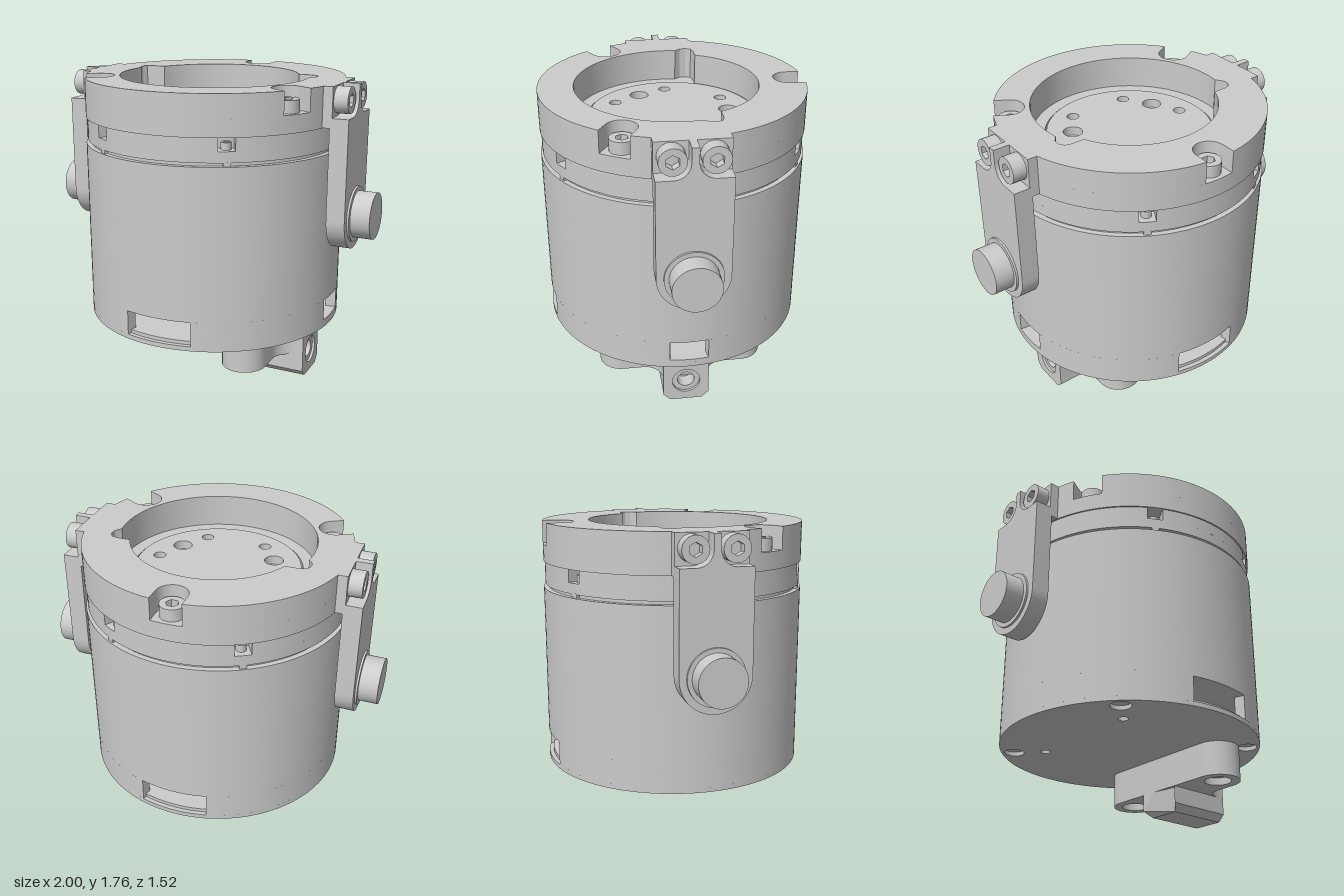
import * as THREE from 'three';
import { toCreasedNormals } from 'three/addons/utils/BufferGeometryUtils.js';

const material = new THREE.MeshStandardMaterial({ color: 0xcccccc });
const V = (x, y) => new THREE.Vector2(x, y);
const TAU = Math.PI * 2;

function add(parent, name, geometry) {
  const mesh = new THREE.Mesh(geometry, material);
  mesh.name = name;
  parent.add(mesh);
  return mesh;
}

// Points along an arc, ends included
function arc(cx, cy, r, a0, a1, n = 16) {
  return Array.from({ length: n + 1 }, (_, i) => {
    const a = a0 + ((a1 - a0) * i) / n;
    return V(cx + r * Math.cos(a), cy + r * Math.sin(a));
  });
}
const circle = (x, y, r, n = 32) => arc(x, y, r, 0, TAU, n).slice(0, -1);

function extrude(points, holes, depth) {
  const shape = new THREE.Shape(points);
  holes.forEach(h => shape.holes.push(new THREE.Path(h)));
  return new THREE.ExtrudeGeometry(shape, { depth, bevelEnabled: false });
}
// Outline in (x, z), raised from y0 to y1
function slab(points, y0, y1, holes = []) {
  const g = extrude(points, holes, y1 - y0).rotateX(Math.PI / 2).translate(0, y1, 0);
  return toCreasedNormals(g, 0.5);
}
// Outline in (z, y), pushed from x0 to x1
function sideSlab(points, x0, x1, holes = []) {
  const g = extrude(points, holes, x1 - x0).rotateY(Math.PI / 2).translate(x0, 0, 0);
  return toCreasedNormals(g, 0.5);
}
function disc(r, y0, y1) {
  return new THREE.CylinderGeometry(r, r, y1 - y0, 128).translate(0, (y0 + y1) / 2, 0);
}

// Round outline with slots cut inward at the given angles (ascending)
function slottedCircle(R, angles, w, rIn, rounded) {
  const half = Math.asin(w / R), pts = [];
  angles.forEach((a, i) => {
    const local = rounded
      ? arc(rIn + w, 0, w, -Math.PI / 2, -Math.PI * 1.5)
      : [V(rIn, -w), V(rIn, w)];
    local.forEach(p => pts.push(p.rotateAround(V(0, 0), a)));
    const next = i + 1 < angles.length ? angles[i + 1] : angles[0] + TAU;
    pts.push(...arc(0, 0, R, a + half, next - half, 40));
  });
  return pts;
}

// Socket head screw standing on its local origin, pointing up
function screw(parent, name, r, h) {
  const g = new THREE.Group();
  g.name = name;
  add(g, 'screwHead', slab(circle(0, 0, r), 0, h, [circle(0, 0, r * 0.52, 6)]));
  add(g, 'socketFloor', new THREE.CylinderGeometry(r * 0.6, r * 0.6, h * 0.4, 16).translate(0, h * 0.2, 0));
  parent.add(g);
  return g;
}

function buildHousing(root) {
  // Base plate with mounting and pin holes
  const diagonals = [1, 3, 5, 7].map(k => (k * Math.PI) / 4);
  const holes = diagonals.map(a => circle(0.685 * Math.cos(a), 0.685 * Math.sin(a), 0.058));
  [3, 5].forEach(k => holes.push(circle(0.5 * Math.cos(k * Math.PI / 4), 0.5 * Math.sin(k * Math.PI / 4), 0.028)));
  add(root, 'basePlate', slab(circle(0, 0, 0.76, 128), 0.34, 0.367, holes));
  add(root, 'cavityFloor', disc(0.735, 0.365, 0.388));

  // Wall arcs between the front, back and side windows
  const big = Math.asin(0.197 / 0.76), small = Math.asin(0.11 / 0.76), q = Math.PI / 2;
  [[small, q - big], [q + big, 3 * q - big], [3 * q + big, 4 * q - small]].forEach(([a, b]) => {
    const pts = [...arc(0, 0, 0.76, a, b, 48), ...arc(0, 0, 0.7, b, a, 48)];
    add(root, 'windowWall', slab(pts, 0.365, 0.51));
  });
  add(root, 'sideWindowSill', slab([...arc(0, 0, 0.76, -small, small, 8), ...arc(0, 0, 0.7, small, -small, 8)], 0.365, 0.388));
  add(root, 'mainBody', disc(0.76, 0.51, 1.38));

  // Groove with small tabs, then the notched middle ring
  const notchAngles = [1, 2, 4, 5].map(k => (k * Math.PI) / 3);
  add(root, 'groove', disc(0.73, 1.37, 1.41));
  notchAngles.forEach(a => {
    const tab = add(root, 'grooveTab', new THREE.BoxGeometry(0.06, 0.03, 0.04));
    tab.position.set(0.72 * Math.cos(a), 1.39, 0.72 * Math.sin(a));
    tab.rotation.y = -a;
    const s = screw(root, 'notchScrew', 0.028, 0.04);
    s.position.set(0.69 * Math.cos(a), 1.46, 0.69 * Math.sin(a));
  });
  add(root, 'middleRingLower', disc(0.75, 1.4, 1.46));
  add(root, 'middleRing', slab(slottedCircle(0.75, notchAngles, 0.045, 0.66, false), 1.46, 1.533));
}

function buildTop(root) {
  // Pocket: wide arc in front, two ears, narrower arc behind
  const ear = [[0.53, -0.2], [0.562, -0.19], [0.578, -0.16], [0.575, -0.125], [0.556, -0.1]];
  const aBack = Math.asin(0.2 / 0.49), aFront = Math.asin(0.09 / 0.555);
  const pocket = [
    ...arc(0, 0, 0.49, Math.PI + aBack, TAU - aBack, 48),
    ...ear.map(([x, z]) => V(x, z)),
    ...arc(0, 0, 0.555, -aFront, Math.PI + aFront, 64),
    ...ear.slice().reverse().map(([x, z]) => V(-x, z)),
  ];
  const slots = [Math.PI / 6, Math.PI * 5 / 6, Math.PI * 1.5];
  add(root, 'topRingLower', slab(circle(0, 0, 0.758, 128), 1.533, 1.632, [pocket]));
  add(root, 'topRing', slab(slottedCircle(0.758, slots, 0.088, 0.583, true), 1.632, 1.76, [pocket]));
  slots.forEach(a => {
    const s = screw(root, 'topScrew', 0.068, 0.07);
    s.position.set(0.667 * Math.cos(a), 1.632, 0.667 * Math.sin(a));
  });

  // Recessed floor and drilled centre disc
  add(root, 'pocketFloor', slab(circle(0, 0, 0.6, 96), 1.53, 1.575, [circle(0, 0, 0.483, 96)]));
  const holes = [];
  for (let i = 0; i < 6; i++) holes.push(circle(0.36 * Math.cos(i * TAU / 6), 0.36 * Math.sin(i * TAU / 6), 0.035));
  slots.forEach(a => holes.push(circle(0.325 * Math.cos(a), 0.325 * Math.sin(a), 0.055)));
  add(root, 'centreDisc', slab(circle(0, 0, 0.472, 96), 1.525, 1.585, holes));
}

function buildArm(root, name, turn) {
  const g = new THREE.Group();
  g.name = name;
  // Boss on the top ring and the hanging plate with two screw pockets
  add(g, 'armBoss', new THREE.BoxGeometry(0.07, 0.225, 0.4).translate(0.75, 1.6475, 0));
  const pocket = arc(0.11, 1.68, 0.09, Math.PI, Math.PI * 1.5);
  const outline = [
    ...arc(0, 1.02, 0.2, Math.PI, TAU, 32),
    V(0.2, 1.59),
    ...pocket.slice().reverse(), V(0.02, 1.76), V(-0.02, 1.76),
    ...pocket.map(p => V(-p.x, p.y)),
    V(-0.2, 1.59),
  ];
  add(g, 'armPlate', sideSlab(outline, 0.772, 0.878));
  [-0.11, 0.11].forEach(z => {
    const s = screw(g, 'armScrew', 0.074, 0.08);
    s.rotation.z = -Math.PI / 2;
    s.position.set(0.783, 1.68, z);
  });
  // Pivot pin and its collar
  add(g, 'pivotCollar', sideSlab(circle(0, 1.02, 0.16, 64), 0.87, 0.89));
  add(g, 'pivotPin', sideSlab(circle(0, 1.02, 0.134, 64), 0.87, 1.0));
  g.rotation.y = turn;
  root.add(g);
}

function buildFoot(root) {
  const g = new THREE.Group();
  g.name = 'foot';
  // Flange with rounded ends, filleted into the block
  const flange = [
    ...arc(0.36, 0.36, 0.13, Math.PI, 0, 24),
    V(0.49, 0.24), ...arc(0.595, 0.24, 0.105, Math.PI, Math.PI * 1.5, 8),
    ...arc(0.595, -0.24, 0.105, Math.PI / 2, Math.PI, 8), V(0.49, -0.3),
    ...arc(0.36, -0.36, 0.13, 0, -Math.PI, 24),
  ];
  add(g, 'footFlange', slab(flange, 0.14, 0.345, [circle(0.36, 0.36, 0.078), circle(0.36, -0.36, 0.078)]));
  [-0.36, 0.36].forEach(z => {
    const s = screw(g, 'footScrew', 0.066, 0.08);
    s.rotation.x = Math.PI;
    s.position.set(0.36, 0.26, z);
    add(g, 'counterboreFloor', new THREE.CylinderGeometry(0.085, 0.085, 0.08, 32)).position.set(0.36, 0.3, z);
  });
  // Chamfered block with a stepped bore in its outer face
  const block = [V(-0.095, 0), V(0.095, 0), V(0.135, 0.04), V(0.135, 0.345), V(-0.135, 0.345), V(-0.135, 0.04)];
  const rear = sideSlab(block, 0.23, 0.54);
  const p = rear.attributes.position;
  for (let i = 0; i < p.count; i++) {
    if (p.getY(i) < 0.01 && p.getX(i) < 0.3) p.setX(i, 0.27);
  }
  rear.computeVertexNormals();
  add(g, 'footBlock', rear);
  add(g, 'footBore', sideSlab(block, 0.54, 0.625, [circle(0, 0.135, 0.05)]));
  add(g, 'footBoreRim', sideSlab(block, 0.625, 0.64, [circle(0, 0.135, 0.082)]));
  root.add(g);
}

export function createModel() {
  const root = new THREE.Group();
  root.name = 'cylindricalHousing';
  buildHousing(root);
  buildTop(root);
  buildArm(root, 'leftArm', 0);
  buildArm(root, 'rightArm', Math.PI);
  buildFoot(root);
  return root;
}
